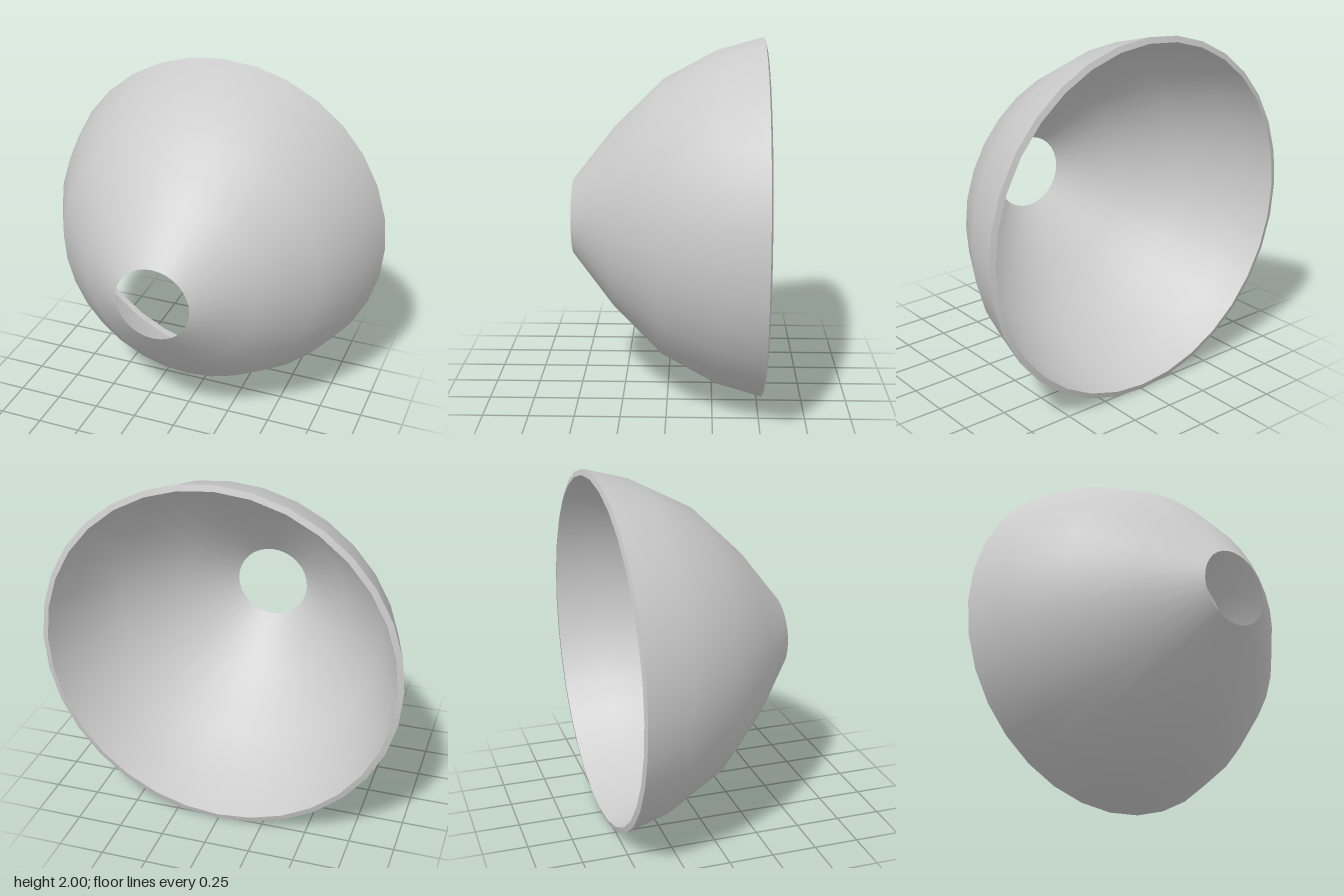
import * as THREE from 'three';

const SIDES = 32;

// Revolve [radius, z] points around the front-to-back axis
function revolve(name, profile, material) {
  const geometry = new THREE.LatheGeometry(profile.map(([r, z]) => new THREE.Vector2(r, z)), SIDES);
  geometry.rotateX(Math.PI / 2);
  geometry.translate(0, 1, 0);
  const mesh = new THREE.Mesh(geometry, material);
  mesh.name = name;
  return mesh;
}

export function createModel() {
  const group = new THREE.Group();
  group.name = 'reflectorBowl';
  const material = new THREE.MeshStandardMaterial({ color: 0xcccccc, side: THREE.DoubleSide });

  // Thin bowl, from the wide back opening to the round hole in front
  group.add(revolve('bowlShell', [
    [1, -0.52], [0.93, -0.27], [0.77, 0.03], [0.505, 0.3], [0.212, 0.53],
  ], material));

  // Narrow lip turned inward around the back opening
  group.add(revolve('rimLip', [[0.968, -0.53], [1, -0.52]], material));

  return group;
}
